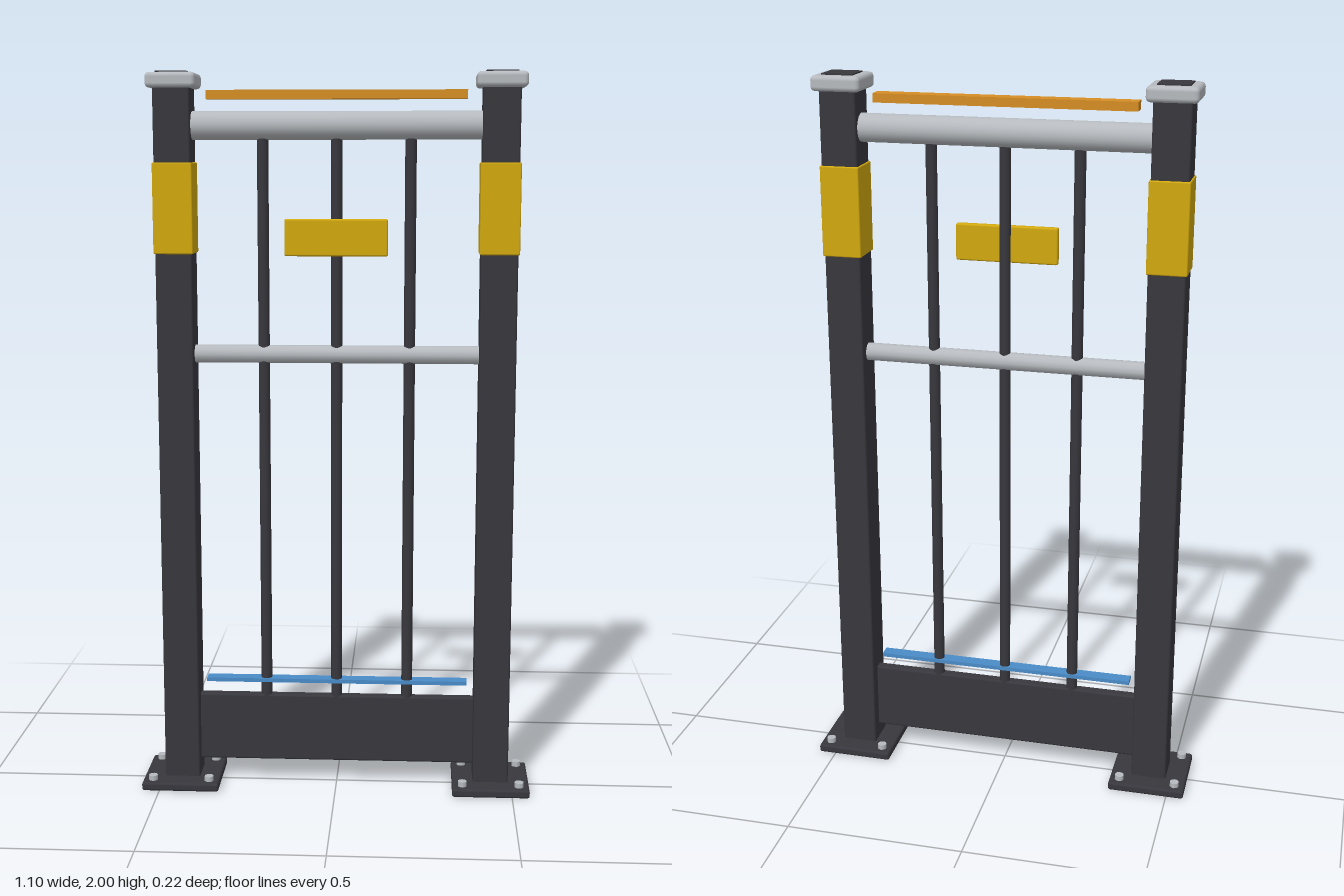
import * as THREE from 'three';
import { RoundedBoxGeometry } from 'three/addons/geometries/RoundedBoxGeometry.js';

const paint = (name, color) => {
  const m = new THREE.MeshStandardMaterial({ color });
  m.name = name;
  return m;
};

export function createModel() {
  const root = new THREE.Group();
  root.name = 'gatePanel';

  const dark = paint('charcoal', 0x38373d);
  const steel = paint('light steel', 0xb6babe);
  const yellow = paint('safety yellow', 0xd2a90f);
  const orange = paint('amber', 0xd68e24);
  const blue = paint('blue', 0x4a8cc8);

  const add = (parent, name, geometry, material, x, y, z) => {
    const mesh = new THREE.Mesh(geometry, material);
    mesh.name = name;
    mesh.position.set(x, y, z);
    parent.add(mesh);
    return mesh;
  };
  const box = (w, h, d) => new THREE.BoxGeometry(w, h, d);
  const rounded = (w, h, d, r) => new RoundedBoxGeometry(w, h, d, 2, r);

  // Two posts with foot plate, bolts, sleeve and cap
  for (const side of [-1, 1]) {
    const post = new THREE.Group();
    post.name = side > 0 ? 'leftPost' : 'rightPost';
    post.position.x = side * 0.44;
    root.add(post);

    add(post, 'postTube', rounded(0.1, 1.96, 0.1, 0.006), dark, 0, 0.99, 0);
    add(post, 'footPlate', rounded(0.218, 0.024, 0.218, 0.007), dark, 0, 0.012, 0);
    for (const x of [-0.08, 0.08]) {
      for (const z of [-0.08, 0.08]) {
        add(post, 'bolt', new THREE.CylinderGeometry(0.013, 0.013, 0.016, 10), steel, x, 0.03, z);
      }
    }
    add(post, 'sleeve', rounded(0.108, 0.245, 0.108, 0.004), yellow, 0, 1.638, 0);
    add(post, 'cap', rounded(0.135, 0.041, 0.135, 0.012), steel, 0, 1.976, 0);
    add(post, 'capInset', box(0.085, 0.006, 0.085), dark, 0, 1.997, 0);
  }

  // Horizontal rails between the posts
  const rail = (name, radius, sides, y) => {
    const geometry = new THREE.CylinderGeometry(radius, radius, 0.79, sides);
    add(root, name, geometry, steel, 0, y, 0).rotation.z = Math.PI / 2;
  };
  rail('topRail', 0.038, 24, 1.858);
  rail('middleRail', 0.025, 12, 1.24);

  // Upright bars, sunk into the kick plate
  for (const x of [-0.2, 0, 0.2]) {
    add(root, 'uprightBar', new THREE.CylinderGeometry(0.0155, 0.0155, 1.7, 12), dark, x, 0.99, 0);
  }
  add(root, 'kickPlate', rounded(0.785, 0.195, 0.03, 0.006), dark, 0, 0.163, 0);

  // Sign plate and accent strips
  add(root, 'signPlate', rounded(0.28, 0.1, 0.02, 0.005), yellow, 0, 1.56, 0.024);
  add(root, 'topStrip', box(0.7, 0.024, 0.045), orange, 0, 1.939, -0.002);
  add(root, 'lowerStrip', box(0.74, 0.011, 0.036), blue, 0, 0.304, 0);

  return root;
}
